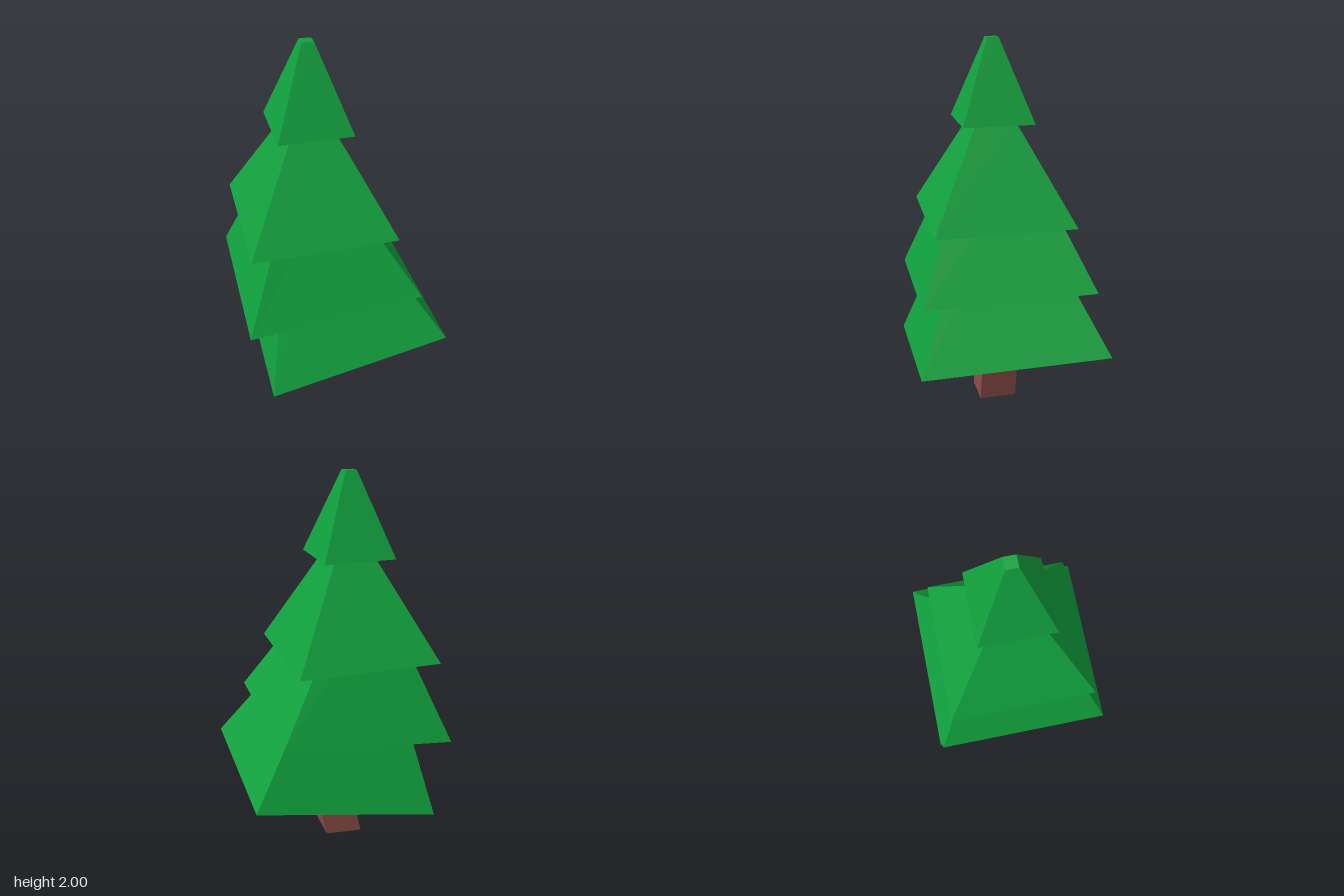
import * as THREE from 'three';

const leafGreen = new THREE.MeshStandardMaterial({ color: 0x11a13e, side: THREE.DoubleSide, flatShading: true });
leafGreen.name = 'leafGreen';
const barkBrown = new THREE.MeshStandardMaterial({ color: 0x8f504b, flatShading: true });
barkBrown.name = 'barkBrown';

// Skins four-cornered rings, each [left x, left y, right x, right y, half depth]
function loft(name, rings, material, capBottom, capTop) {
  const corners = rings.map(([xl, yl, xr, yr, z]) => [
    [xr, yr, z], [xr, yr, -z], [xl, yl, -z], [xl, yl, z],
  ]);
  const positions = [];
  const quad = (a, b, c, d) => positions.push(...a, ...b, ...c, ...a, ...c, ...d);
  for (let r = 0; r < corners.length - 1; r++) {
    const low = corners[r], high = corners[r + 1];
    for (let i = 0; i < 4; i++) {
      const j = (i + 1) % 4;
      quad(low[i], low[j], high[j], high[i]);
    }
  }
  if (capBottom) quad(...[...corners[0]].reverse());
  if (capTop) quad(...corners[corners.length - 1]);
  const geometry = new THREE.BufferGeometry();
  geometry.setAttribute('position', new THREE.Float32BufferAttribute(positions, 3));
  geometry.computeVertexNormals();
  const mesh = new THREE.Mesh(geometry, material);
  mesh.name = name;
  return mesh;
}

export function createModel() {
  const tree = new THREE.Group();
  tree.name = 'pineTree';

  // Crooked trunk, running up inside the branches
  tree.add(loft('trunk', [
    [-0.165, 0, 0.04, 0.02, 0.1],
    [-0.08, 0.365, 0.118, 0.385, 0.1],
    [-0.23, 1.22, -0.035, 1.26, 0.099],
    [-0.205, 1.6, -0.01, 1.6, 0.098],
    [-0.175, 1.7, -0.04, 1.7, 0.068],
  ], barkBrown, true, true));

  // Hollow branch tiers, open underneath, from the bottom up
  const tiers = [
    ['bottomBranches', [-0.425, 0.29, 0.515, 0.48, 0.48], [-0.243, 1.22, -0.026, 1.27, 0.105]],
    ['lowerBranches', [-0.515, 0.685, 0.368, 0.772, 0.447], [-0.232, 1.4, -0.03, 1.4, 0.172]],
    ['upperBranches', [-0.472, 1.088, 0.258, 1.088, 0.365], [-0.208, 1.592, -0.006, 1.592, 0.101]],
    ['topBranches', [-0.29, 1.588, 0.076, 1.588, 0.183], [-0.136, 2, -0.078, 2, 0.029]],
  ];
  tiers.forEach(([name, rim, top]) => {
    tree.add(loft(name, [rim, top], leafGreen, false, name === 'topBranches'));
  });
  return tree;
}
